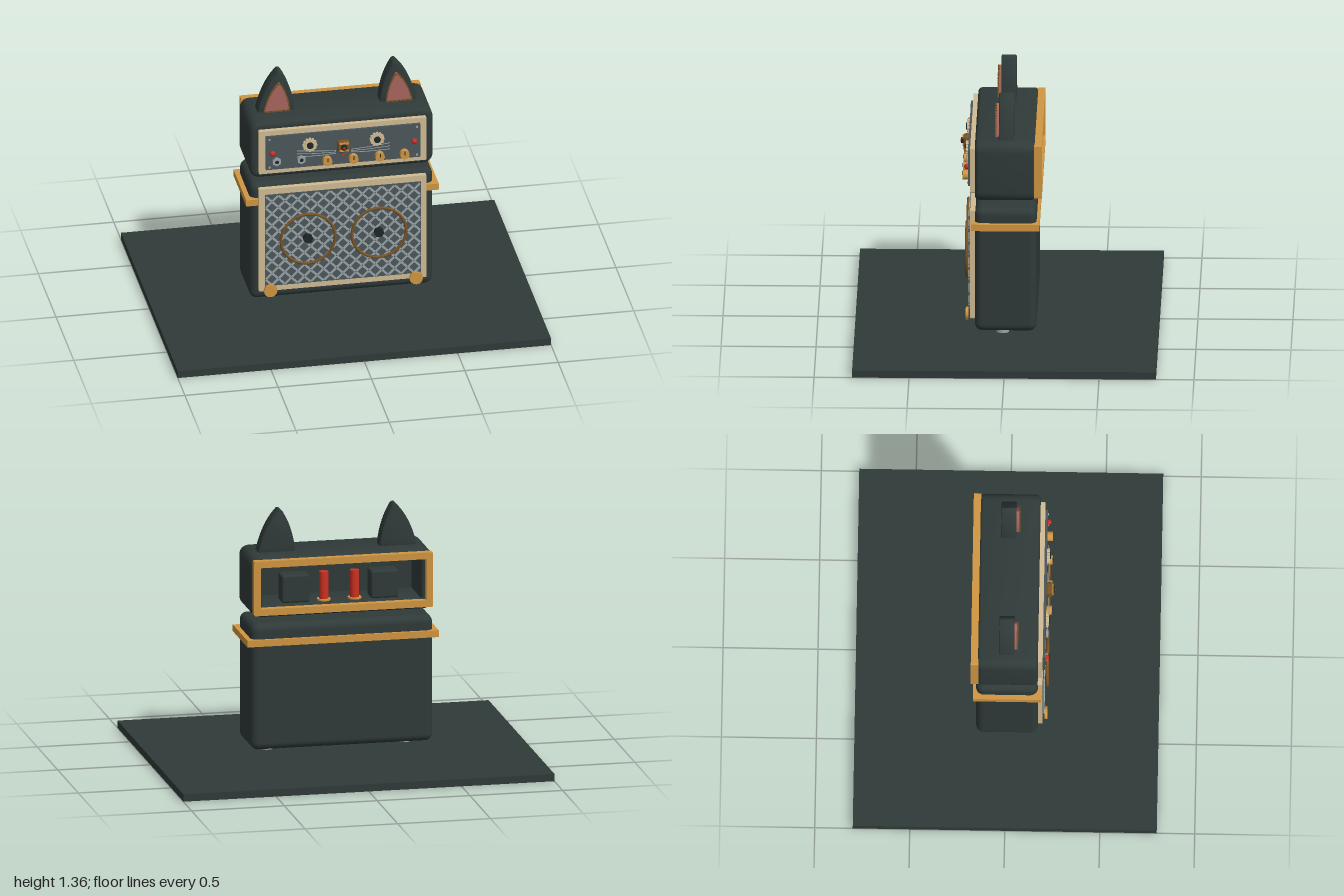
import * as THREE from 'three';
import { mergeGeometries, toCreasedNormals } from 'three/addons/utils/BufferGeometryUtils.js';
import { RoundedBoxGeometry } from 'three/addons/geometries/RoundedBoxGeometry.js';

const mat = (name, color) => new THREE.MeshStandardMaterial({ name, color });

export function createModel() {
  const M = {
    dark: mat('dark covering', 0x2f3a39), gold: mat('gold', 0xcf9642), cream: mat('cream trim', 0xd0bc94),
    slate: mat('slate panel', 0x4b5658), silver: mat('silver', 0x9aa4a8), brown: mat('brown', 0x7a5424),
    pink: mat('pink felt', 0xa8655f), red: mat('red glow', 0xcc3020), black: mat('black', 0x1f2626),
  };
  const model = new THREE.Group();
  model.name = 'catAmplifier';

  const add = (name, geometry, material, x = 0, y = 0, z = 0) => {
    const mesh = new THREE.Mesh(geometry, material);
    mesh.name = name;
    mesh.position.set(x, y, z);
    model.add(mesh);
    return mesh;
  };
  const box = (name, m, w, h, d, x, y, z) => add(name, new THREE.BoxGeometry(w, h, d), m, x, y, z);
  // Disc facing the front
  const disc = (name, m, r, d, x, y, z, sides = 24) =>
    add(name, new THREE.CylinderGeometry(r, r, d, sides).rotateX(Math.PI / 2), m, x, y, z);
  // Rectangle outline, optionally with rounded corners
  const rect = (w, h, r, C = THREE.Shape) => {
    const s = new C(), a = w / 2, b = h / 2;
    s.moveTo(-a + r, -b).lineTo(a - r, -b).quadraticCurveTo(a, -b, a, -b + r);
    s.lineTo(a, b - r).quadraticCurveTo(a, b, a - r, b);
    s.lineTo(-a + r, b).quadraticCurveTo(-a, b, -a, b - r);
    s.lineTo(-a, -b + r).quadraticCurveTo(-a, -b, -a + r, -b);
    return s;
  };
  const frame = (name, m, w, h, t, d, y, z) => {
    const s = rect(w, h, 0.008);
    s.holes.push(rect(w - 2 * t, h - 2 * t, 0.004, THREE.Path));
    return add(name, new THREE.ExtrudeGeometry(s, { depth: d, bevelEnabled: false, curveSegments: 3 }), m, 0, y, z);
  };
  const tube = (points, r, n = 32) =>
    new THREE.TubeGeometry(new THREE.CatmullRomCurve3(points.map(p => new THREE.Vector3(...p))), n, r, 6);

  // Floor slab and feet
  box('floorSlab', M.dark, 2, 0.04, 1.6, 0, 0.02, 0);
  for (const x of [-0.37, 0.37])
    add('foot', new THREE.CylinderGeometry(0.033, 0.033, 0.05, 24), M.silver, x, 0.075, 0.02);

  // Speaker cabinet
  add('cabinet', new RoundedBoxGeometry(0.98, 0.685, 0.325, 5, 0.04), M.dark, 0, 0.4275, 0.0025);
  frame('cabinetTrim', M.cream, 0.9, 0.605, 0.034, 0.028, 0.448, 0.162);
  box('grilleCloth', M.slate, 0.835, 0.54, 0.02, 0, 0.447, 0.185);

  // Woven grille strands: diagonal dashes in alternating directions
  const strands = [];
  const cols = 24, rows = 15, px = 0.83 / cols, py = 0.53 / rows;
  for (let i = 0; i < cols; i++) for (let j = 0; j < rows; j++) {
    const g = new THREE.BoxGeometry(0.042, 0.011, 0.005);
    g.rotateZ((i + j) % 2 ? Math.PI / 4 : -Math.PI / 4);
    g.translate((i + 0.5) * px - 0.415, (j + 0.5) * py - 0.265, 0);
    strands.push(g);
  }
  add('grilleWeave', mergeGeometries(strands), M.silver, 0, 0.447, 0.197);

  // Speaker rings, dust caps and front corner studs
  for (const s of [-1, 1]) {
    add('speakerRing', new THREE.TorusGeometry(0.145, 0.008, 8, 56), M.brown, s * 0.19, 0.447, 0.212);
    disc('dustCap', M.black, 0.025, 0.025, s * 0.19, 0.447, 0.208);
    disc('cornerStud', M.gold, 0.036, 0.014, s * 0.39, 0.155, 0.207, 12);
  }

  // Gold strap around the sides and back
  for (const s of [-1, 1]) box('strapSide', M.gold, 0.07, 0.036, 0.355, s * 0.481, 0.672, 0.006);
  box('strapBack', M.gold, 1.03, 0.036, 0.03, 0, 0.672, -0.161);

  // Amplifier head: a bevelled shell, open at the back
  const shell = rect(0.93, 0.275, 0.03);
  shell.holes.push(rect(0.9, 0.255, 0.01, THREE.Path));
  const bevel = 0.025;
  const shellGeo = new THREE.ExtrudeGeometry(shell, {
    depth: 0.32 - 2 * bevel, bevelThickness: bevel, bevelSize: bevel, bevelSegments: 5, curveSegments: 6,
  });
  add('headShell', toCreasedNormals(shellGeo, 0.6), M.dark, 0, 0.9675, -0.155 + bevel);
  box('headInnerWall', M.dark, 0.9, 0.25, 0.08, 0, 0.9675, 0.125);
  frame('backFrame', M.gold, 0.965, 0.296, 0.036, 0.04, 0.972, -0.188);

  // Valves and transformers inside the back
  for (const s of [-1, 1]) {
    add('valveSocket', new THREE.CylinderGeometry(0.036, 0.036, 0.025, 24), M.gold, s * 0.083, 0.862, -0.075);
    add('valve', new THREE.CylinderGeometry(0.025, 0.025, 0.16, 24), M.red, s * 0.083, 0.94, -0.075);
    add('transformer', new RoundedBoxGeometry(0.15, 0.15, 0.1, 2, 0.012), M.dark, s * 0.24, 0.94, -0.06);
  }

  // Front control panel
  frame('headTrim', M.cream, 0.9, 0.252, 0.036, 0.028, 0.968, 0.162);
  box('controlPanel', M.slate, 0.826, 0.196, 0.04, 0, 0.968, 0.183);
  for (const x of [-0.395, 0.395]) for (const y of [0.885, 1.05]) disc('screw', M.silver, 0.006, 0.006, x, y, 0.205, 8);

  for (const s of [-1, 1]) {
    // Dial eyes with scalloped rims
    disc('eyeDial', M.cream, 0.033, 0.016, s * 0.18, 1.002, 0.21);
    for (let i = 0; i < 12; i++) {
      const a = i * Math.PI / 6;
      disc('eyeRimBead', M.cream, 0.007, 0.014, s * 0.18 + 0.033 * Math.cos(a), 1.002 + 0.033 * Math.sin(a), 0.21, 10);
    }
    disc('eyePupil', M.black, 0.018, 0.024, s * 0.18, 1.002, 0.212);
    add('lamp', new THREE.SphereGeometry(0.015, 16, 10), M.red, s * 0.38, 0.968, 0.208);
    // Whisker wires
    for (const k of [0, 1, 2])
      add('whisker', tube([[s * 0.04, 0.955 - k * 0.008, 0.212], [s * 0.13, 0.962 - k * 0.013, 0.214],
        [s * 0.25, 0.972 - k * 0.018, 0.21]], 0.002), M.silver);
  }

  // Input jacks and control knobs
  for (const x of [-0.357, -0.225]) {
    disc('jackNut', M.silver, 0.024, 0.014, x, 0.918, 0.209, 6);
    disc('jackHole', M.black, 0.01, 0.018, x, 0.918, 0.209, 16);
  }
  for (const x of [-0.088, 0.053, 0.193, 0.326]) {
    disc('knob', M.gold, 0.025, 0.03, x, 0.902, 0.217);
    box('knobPointer', M.black, 0.005, 0.02, 0.004, x, 0.913, 0.233);
  }

  // Nose badge with a small mouth
  add('noseBadge', new RoundedBoxGeometry(0.066, 0.066, 0.036, 3, 0.012), M.brown, -0.002, 0.982, 0.217);
  for (const y of [0.963, 1.005]) box('noseBar', M.gold, 0.05, 0.008, 0.008, -0.002, y, 0.236);
  disc('nose', M.black, 0.016, 0.014, -0.002, 0.984, 0.24);
  disc('noseTip', M.red, 0.007, 0.008, -0.002, 0.984, 0.246, 12);
  disc('mouth', M.red, 0.01, 0.014, -0.002, 0.927, 0.208, 3);

  // Ears: curved outline scaled about its base, leaning outwards
  const earShape = (k, lift) => {
    const s = new THREE.Shape(), p = (x, y) => [x * k, y * k + lift];
    s.moveTo(...p(-0.095, 0)).lineTo(...p(0.095, 0));
    s.quadraticCurveTo(...p(0.06, 0.15), ...p(-0.015, 0.225));
    s.quadraticCurveTo(...p(-0.025, 0.225), ...p(-0.032, 0.21));
    s.quadraticCurveTo(...p(-0.085, 0.12), ...p(-0.095, 0));
    return s;
  };
  const mirrorX = g => {
    const m = g.index ? g.toNonIndexed() : g.clone();
    m.scale(-1, 1, 1);
    for (const a of Object.values(m.attributes)) for (let i = 0; i < a.count; i += 3) {
      for (let c = 0; c < a.itemSize; c++) {
        const t = a.getComponent(i + 1, c);
        a.setComponent(i + 1, c, a.getComponent(i + 2, c));
        a.setComponent(i + 2, c, t);
      }
    }
    m.computeVertexNormals();
    return toCreasedNormals(m, 0.6);
  };
  const outer = new THREE.ExtrudeGeometry(earShape(1, 0), {
    depth: 0.064, bevelThickness: 0.008, bevelSize: 0.006, bevelSegments: 2, curveSegments: 10,
  });
  const inner = new THREE.ExtrudeGeometry(earShape(0.72, 0.012), { depth: 0.014, bevelEnabled: false, curveSegments: 10 });
  // Stitches follow the inner ear edge
  const edge = earShape(0.72, 0.012).getSpacedPoints(36);
  const stitches = mergeGeometries(edge.slice(0, -1).map((p, i) => {
    const q = edge[i + 1], g = new THREE.BoxGeometry(p.distanceTo(q) * 0.75, 0.007, 0.008);
    g.rotateZ(Math.atan2(q.y - p.y, q.x - p.x));
    return g.translate((p.x + q.x) / 2, (p.y + q.y) / 2, 0);
  }));
  const earParts = [['ear', outer, M.dark, -0.032], ['innerEar', inner, M.pink, 0.038], ['earStitching', stitches, M.brown, 0.056]];
  for (const [name, g, m, z] of earParts) {
    // The tips sit towards the middle of each ear's inner lean
    add(name, mirrorX(g), m, -0.328, 1.125, z);
    add(name, toCreasedNormals(g, 0.6), m, 0.328, 1.125, z);
  }
  return model;
}
